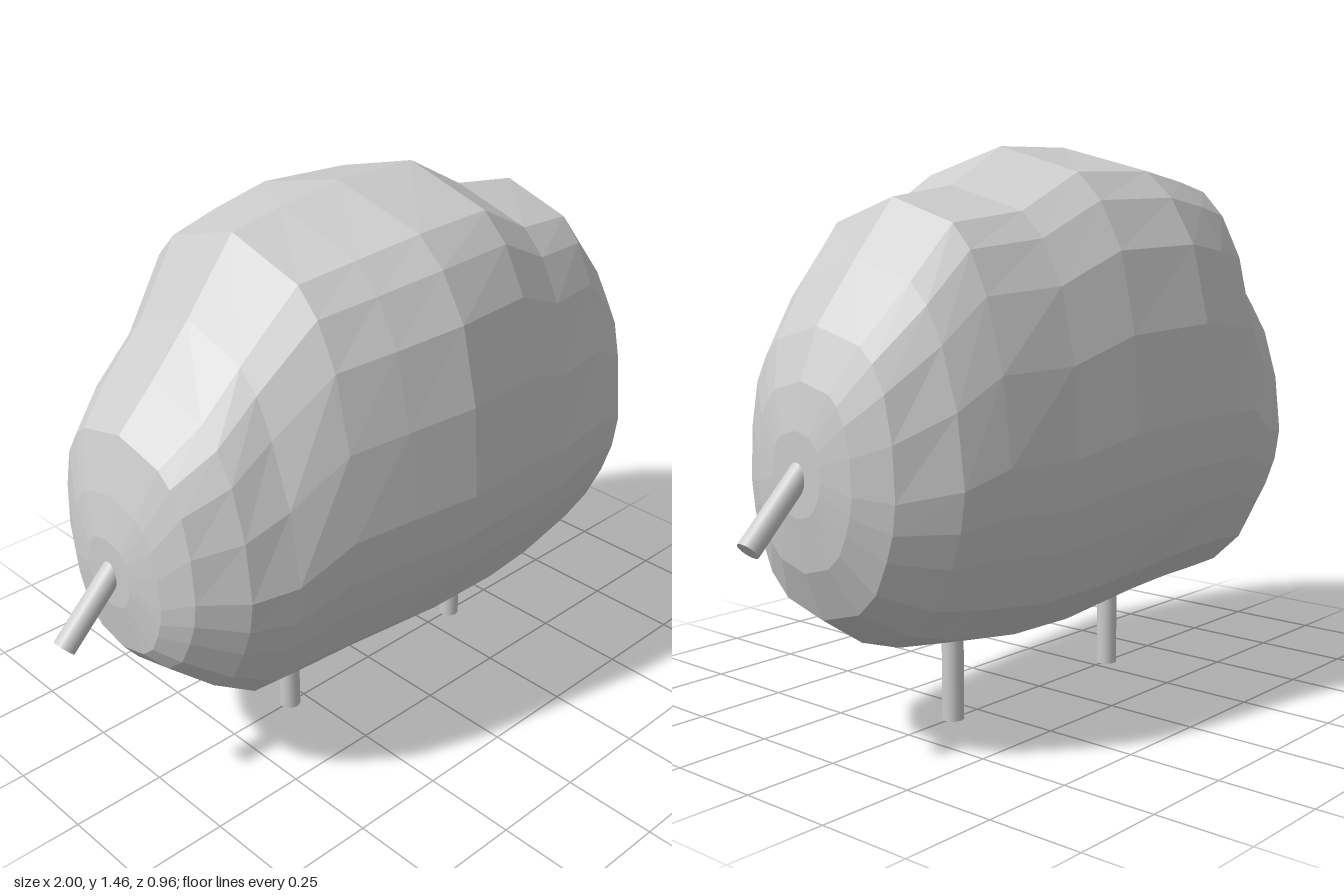
import * as THREE from 'three';

const bodyMat = new THREE.MeshStandardMaterial({ color: 0xcccccc, flatShading: true });
const stickMat = new THREE.MeshStandardMaterial({ color: 0xcccccc });

// Half cross-section from top to bottom: [share of half width, share of height]
const PROFILE = [
  [0, 1], [0.57, 0.945], [0.73, 0.89], [0.875, 0.795], [0.97, 0.635], [1, 0.445],
  [0.96, 0.34], [0.875, 0.245], [0.73, 0.13], [0.5, 0.05], [0, 0],
];

// Stations along the body: [x, bottom, top, half width, pinch of the upper sides]
const STATIONS = [
  [-0.84, 0.58, 0.76, 0.08, 0], [-0.82, 0.45, 0.87, 0.17, 0], [-0.78, 0.4, 1.01, 0.25, 0],
  [-0.68, 0.31, 1.11, 0.33, 0.05], [-0.57, 0.235, 1.23, 0.37, 0.12], [-0.43, 0.23, 1.405, 0.405, 0.03],
  [-0.28, 0.235, 1.43, 0.44, 0], [-0.1, 0.235, 1.455, 0.48, 0], [0.15, 0.2, 1.45, 0.44, 0],
  [0.33, 0.2, 1.35, 0.4, 0], [0.53, 0.23, 1.32, 0.37, 0.08], [0.65, 0.27, 1.18, 0.34, 0.08],
  [0.77, 0.35, 1.03, 0.245, 0], [0.82, 0.47, 0.91, 0.16, 0], [0.84, 0.6, 0.8, 0.08, 0],
];

function bodyGeometry() {
  const back = PROFILE.slice(1, -1).reverse().map(([w, h]) => [-w, h]);
  const loop = [...PROFILE, ...back];
  const n = loop.length, pos = [], idx = [];
  for (const [x, y0, y1, hw, pinch] of STATIONS) {
    for (const [w, h] of loop) {
      const squeeze = 1 - pinch * THREE.MathUtils.smoothstep(h, 0.5, 0.8);
      pos.push(x, y0 + (y1 - y0) * h, w * hw * squeeze);
    }
  }
  for (let i = 0; i < STATIONS.length - 1; i++) {
    for (let j = 0; j < n; j++) {
      const k = (j + 1) % n;
      const a = i * n + j, b = i * n + k, c = a + n, d = b + n;
      idx.push(a, b, c, b, d, c);
    }
  }
  // End caps
  const last = (STATIONS.length - 1) * n;
  for (let j = 1; j < n - 1; j++) {
    idx.push(0, j + 1, j, last, last + j, last + j + 1);
  }
  const g = new THREE.BufferGeometry();
  g.setAttribute('position', new THREE.Float32BufferAttribute(pos, 3));
  g.setIndex(idx);
  g.computeVertexNormals();
  return g;
}

// Round stick between two points in the z = 0 plane
function stick(name, x0, y0, x1, y1) {
  const a = new THREE.Vector3(x0, y0, 0), b = new THREE.Vector3(x1, y1, 0);
  const dir = b.clone().sub(a);
  const m = new THREE.Mesh(new THREE.CylinderGeometry(0.028, 0.028, dir.length(), 16), stickMat);
  m.name = name;
  m.position.copy(a).add(b).multiplyScalar(0.5);
  m.quaternion.setFromUnitVectors(new THREE.Vector3(0, 1, 0), dir.normalize());
  return m;
}

export function createModel() {
  const model = new THREE.Group();
  model.name = 'lumpyFigure';
  const body = new THREE.Mesh(bodyGeometry(), bodyMat);
  body.name = 'body';
  model.add(
    body,
    stick('rightLeg', -0.3, 0, -0.3, 0.3),
    stick('leftLeg', 0.34, 0, 0.34, 0.3),
    stick('rightArm', -0.98, 0.525, -0.78, 0.72),
    stick('leftArm', 0.98, 0.55, 0.78, 0.75),
  );
  return model;
}
